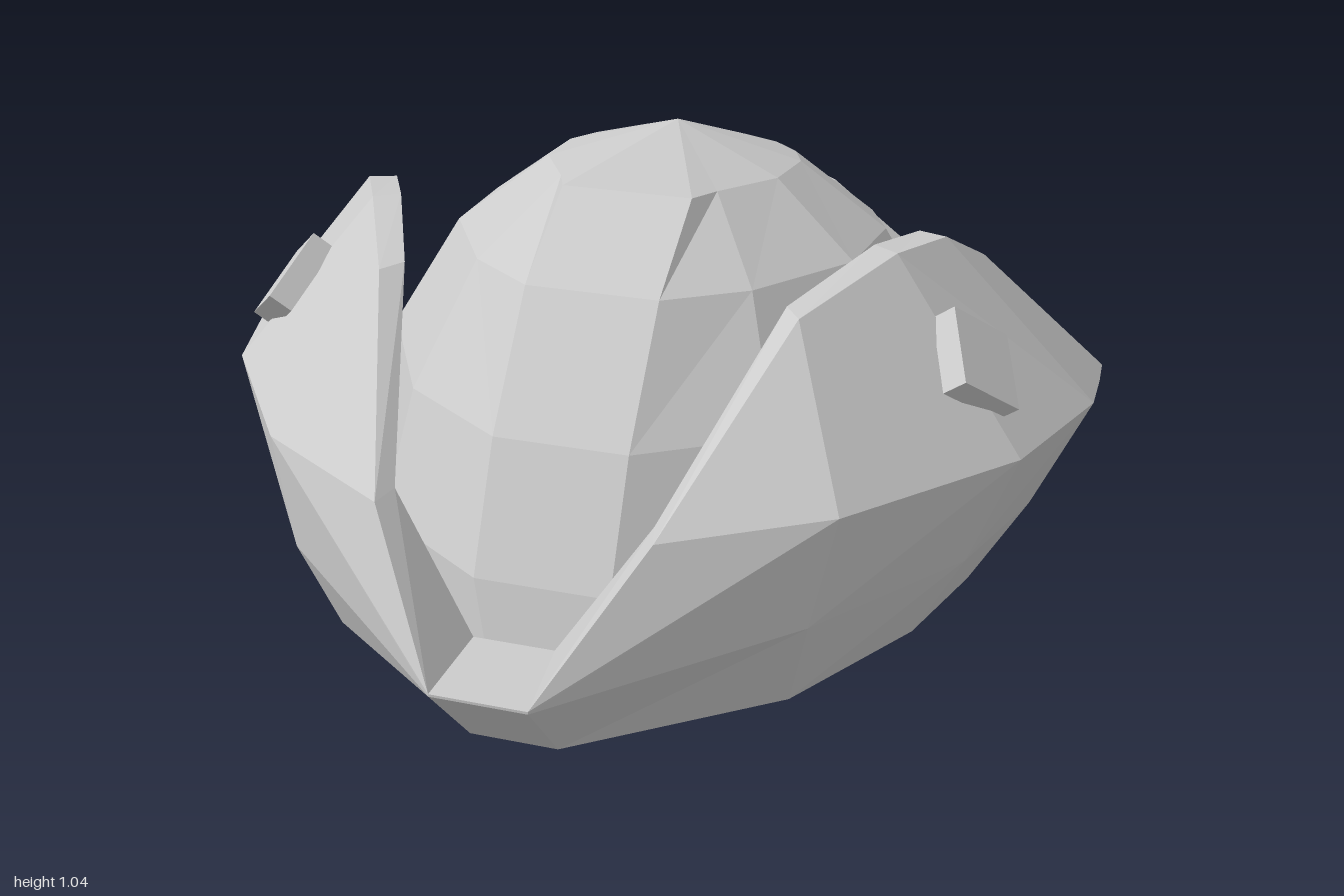
import * as THREE from 'three';

const mat = new THREE.MeshStandardMaterial({ color: 0xcccccc, flatShading: true, side: THREE.DoubleSide });
const V = (a) => new THREE.Vector3(...a);

// Skin the left half's columns (points from bottom to top, running from the
// front to x = 0 at the back), mirror it, and close the strip at the front
function loftMirrored(half, name) {
  const pos = [];
  const tri = (a, b, c) => {
    const area = b.clone().sub(a).cross(c.clone().sub(a)).length();
    if (area > 1e-6) [a, b, c].forEach((p) => pos.push(p.x, p.y, p.z));
  };
  const flip = (p) => new THREE.Vector3(-p.x, p.y, p.z);
  const both = (a, b, c) => {
    tri(a, b, c);
    tri(flip(a), flip(c), flip(b));
  };
  for (let i = 0; i < half.length - 1; i++) {
    const col = half[i], next = half[i + 1];
    for (let j = 0; j < col.length - 1; j++) {
      both(col[j], next[j], next[j + 1]);
      both(col[j], next[j + 1], col[j + 1]);
    }
  }
  const front = half[0];
  for (let j = 0; j < front.length - 1; j++) {
    tri(flip(front[j]), front[j], front[j + 1]);
    tri(flip(front[j]), front[j + 1], flip(front[j + 1]));
  }
  const g = new THREE.BufferGeometry();
  g.setAttribute('position', new THREE.Float32BufferAttribute(pos, 3));
  g.computeVertexNormals();
  const mesh = new THREE.Mesh(g, mat);
  mesh.name = name;
  return mesh;
}

// Move a point level towards the middle of the hat
function inset(p, d) {
  const dir = new THREE.Vector3(-p.x, 0, -0.15 - p.z).normalize();
  return p.clone().addScaledVector(dir, d);
}

// Upturned brim: bottom edge, middle, crease and rim of each column, then back down inside
function brimColumns() {
  const sections = [
    [[0.08, 0.27, 0.85], [0.085, 0.455, 1], [0.085, 0.46, 1], [0.085, 0.46, 1]],
    [[0.43, 0.275, 0.61], [0.47, 0.48, 0.68], [0.51, 0.69, 0.66], [0.24, 0.69, 0.82]],
    [[0.6, 0.225, 0.27], [0.69, 0.42, 0.3], [0.77, 0.635, 0.28], [0.385, 0.93, 0.43]],
    [[0.67, 0.145, -0.07], [0.78, 0.36, -0.05], [0.88, 0.595, -0.06], [0.51, 0.96, 0.17]],
    [[0.67, 0.117, -0.2], [0.765, 0.32, -0.2], [0.885, 0.575, -0.2], [0.58, 0.945, 0.03]],
    [[0.66, 0.084, -0.35], [0.75, 0.29, -0.34], [0.885, 0.55, -0.33], [0.64, 0.86, -0.11]],
    [[0.66, 0.082, -0.37], [0.745, 0.28, -0.36], [0.885, 0.545, -0.335], [0.885, 0.545, -0.335]],
    [[0.65, 0.063, -0.47], [0.69, 0.16, -0.52], [0.72, 0.24, -0.51], [0.72, 0.24, -0.51]],
    [[0.6, 0.04, -0.62], [0.65, 0.15, -0.65], [0.685, 0.25, -0.66], [0.685, 0.25, -0.66]],
    [[0.52, 0.027, -0.7], [0.58, 0.25, -0.74], [0.6, 0.45, -0.76], [0.6, 0.45, -0.76]],
    [[0.3, 0.008, -0.81], [0.36, 0.26, -0.91], [0.37, 0.455, -0.955], [0.24, 0.76, -0.7]],
    [[0, 0, -0.85], [0, 0.27, -0.96], [0, 0.455, -1], [0, 0.81, -0.79]],
  ];
  return sections.map((s, i) => {
    const [b, m, c, r] = s.map(V);
    const d = i === 0 ? 0.17 : 0.055;
    const base = inset(b, i === 0 ? 0.1 : 0.06);
    return [base, b, m, c, r, inset(r, d), inset(c, d), inset(m, d), base];
  });
}

// Domed crown, open below, rising from the brim's inner edge, with a flat front panel
function crownColumns(brim) {
  // front z, front y, half width, back z, back y
  const rings = [
    [0.69, 0.48, 0.62, -0.76, 0.3],
    [0.57, 0.7, 0.56, -0.72, 0.57],
    [0.38, 0.91, 0.43, -0.63, 0.78],
    [0.16, 1.02, 0.25, -0.48, 0.93],
  ];
  const apex = new THREE.Vector3(0, 1.045, -0.2);
  const zc = -0.2;
  // angle from the front, and the brim column it stands on
  const spokes = [[0, 0], [38, 1], [70, 2], [100, 3], [120, 6], [140, 8], [160, 10], [180, 11]];
  return spokes.map(([deg, k]) => {
    const a = THREE.MathUtils.degToRad(deg);
    const col = rings.map(([zf, yf, w, zb, yb]) => {
      const c = Math.cos(a);
      const z = zc + c * (c > 0 ? zf - zc : zc - zb);
      const x = deg === 0 ? 0.125 : deg === 180 ? 0 : w * Math.sin(a);
      return new THREE.Vector3(x, yb + (yf - yb) * (z - zb) / (zf - zb), z);
    });
    return [brim[k][0], ...col, apex];
  });
}

// Diamond stud lying on a brim flap
function makeStud(name, position, normal, sx, sy) {
  const g = new THREE.CylinderGeometry(1, 1, 0.05, 4).rotateX(Math.PI / 2).scale(sx, sy, 1);
  const stud = new THREE.Mesh(g, mat);
  stud.name = name;
  stud.position.set(...position);
  stud.lookAt(V(position).add(V(normal)));
  return stud;
}

export function createModel() {
  const model = new THREE.Group();
  model.name = 'threeCorneredHat';
  const brim = brimColumns();
  model.add(loftMirrored(brim, 'brim'), loftMirrored(crownColumns(brim), 'crown'));
  for (const [side, s] of [['left', 1], ['right', -1]]) {
    model.add(makeStud(side + 'Stud', [0.67 * s, 0.785, 0.22], [0.117 * s, 0.094, 0.026], 0.11, 0.11));
  }
  model.add(makeStud('backStud', [0, 0.63, -0.9], [0, 0.21, -0.355], 0.11, 0.1));
  return model;
}
